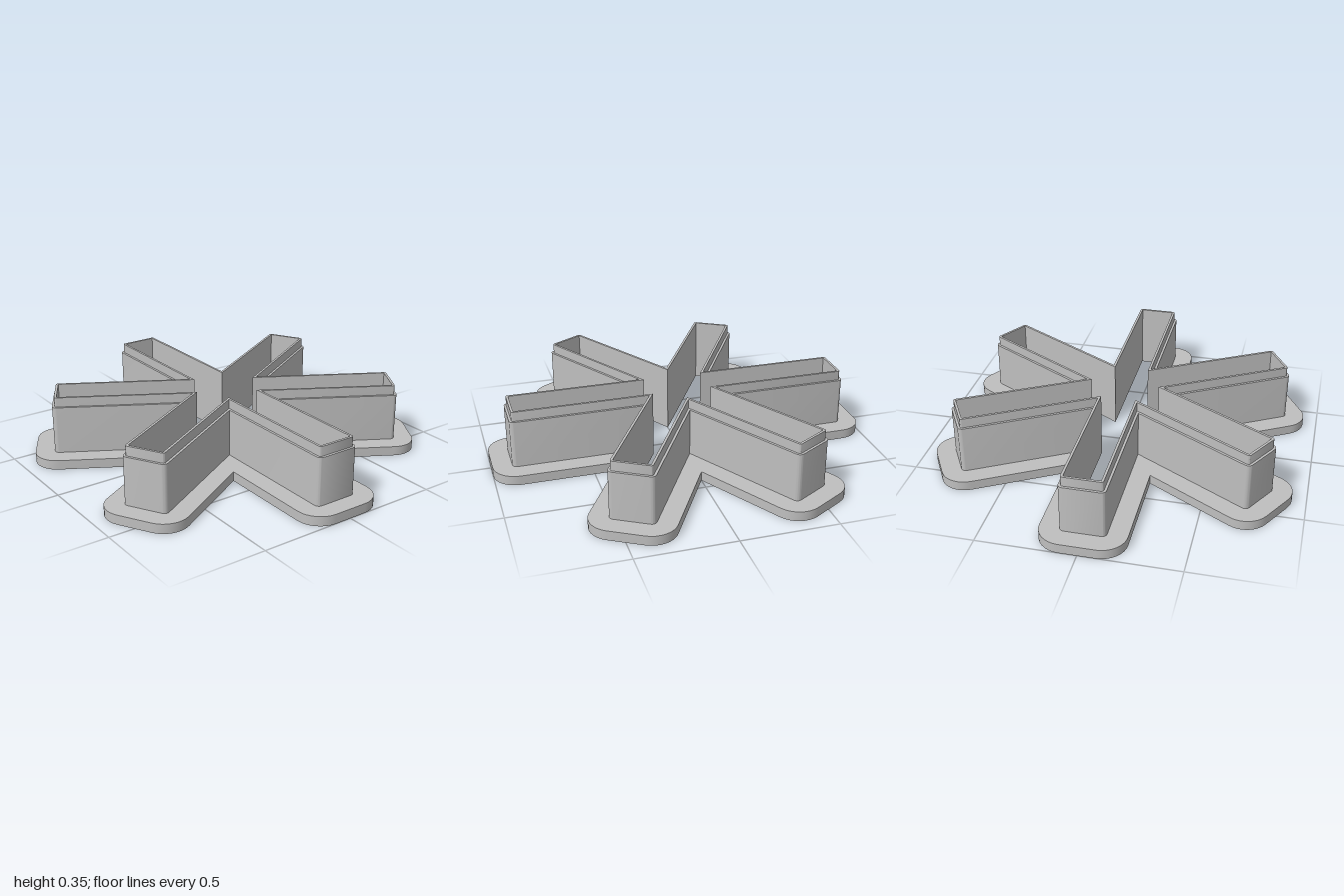
import * as THREE from 'three';
import { toCreasedNormals } from 'three/addons/utils/BufferGeometryUtils.js';

const ARMS = 6, HALF_WIDTH = 0.09, REACH = 0.875, ARC_STEPS = 8;

// Six-armed star outline grown outward by an offset, with rounded arm corners and sharp notches
function outline(offset) {
  const points = [];
  for (let arm = 0; arm < ARMS; arm++) {
    const turn = arm * Math.PI / 3;
    const add = (x, y) => points.push([
      x * Math.cos(turn) - y * Math.sin(turn),
      -(x * Math.sin(turn) + y * Math.cos(turn)),
    ]);
    for (const side of [-1, 1]) {
      for (let i = 0; i <= ARC_STEPS; i++) {
        const a = (side < 0 ? -Math.PI / 2 : 0) + (i / ARC_STEPS) * Math.PI / 2;
        add(REACH + offset * Math.cos(a), side * HALF_WIDTH + offset * Math.sin(a));
      }
    }
    const notch = 2 * (HALF_WIDTH + offset);
    add(notch * Math.cos(Math.PI / 6), notch * Math.sin(Math.PI / 6));
  }
  return points;
}

// Sweeps a profile of [offset, height] pairs around the star
function sweep(profile) {
  const rings = profile.map(([o, y]) => outline(o).map(([x, z]) => new THREE.Vector3(x, y, z)));
  const positions = [];
  const triangle = (a, b, c) => {
    const area = b.clone().sub(a).cross(c.clone().sub(a)).length();
    if (area > 1e-9) for (const p of [a, b, c]) positions.push(p.x, p.y, p.z);
  };
  for (let r = 0; r + 1 < rings.length; r++) {
    const low = rings[r], high = rings[r + 1];
    for (let i = 0; i < low.length; i++) {
      const j = (i + 1) % low.length;
      triangle(low[i], low[j], high[j]);
      triangle(low[i], high[j], high[i]);
    }
  }
  const geometry = new THREE.BufferGeometry();
  geometry.setAttribute('position', new THREE.Float32BufferAttribute(positions, 3));
  return toCreasedNormals(geometry, Math.PI / 6);
}

export function createModel() {
  const group = new THREE.Group();
  group.name = 'starCutter';
  const grey = new THREE.MeshStandardMaterial({ color: 0xbfbfbf });
  grey.name = 'grey';

  const parts = {
    // Wide grip at the bottom
    flange: [[0, 0], [0.125, 0], [0.125, 0.05], [0.025, 0.05]],
    // Tall outer wall with the ledge below the lip
    outerWall: [[0.025, 0.05], [0.025, 0.3], [0.0125, 0.3]],
    // Thin cutting lip
    cuttingLip: [[0.0125, 0.3], [0.0125, 0.35], [0, 0.35]],
    // Straight inside face
    innerWall: [[0, 0.35], [0, 0]],
  };
  for (const [name, profile] of Object.entries(parts)) {
    const mesh = new THREE.Mesh(sweep(profile), grey);
    mesh.name = name;
    group.add(mesh);
  }
  return group;
}
